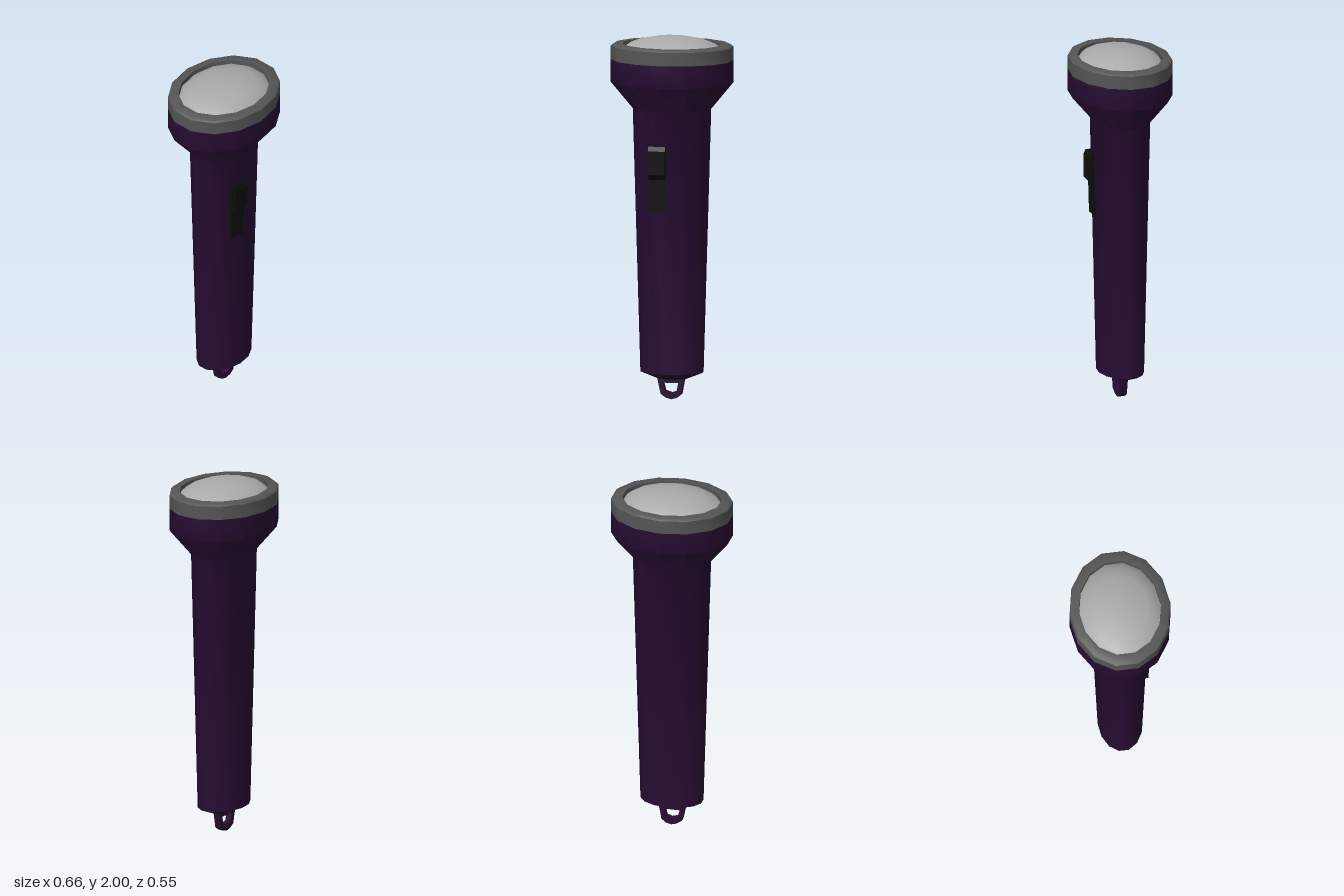
import * as THREE from 'three';
import { toCreasedNormals } from 'three/addons/utils/BufferGeometryUtils.js';

const SIDES = 14;

function material(name, color) {
  const m = new THREE.MeshStandardMaterial({ color });
  m.name = name;
  return m;
}

// Oval lathe: each ring is [half width in x, height, half depth in z]
function ovalLathe(rings) {
  const geo = new THREE.LatheGeometry(rings.map(([rx, y]) => new THREE.Vector2(rx, y)), SIDES);
  const pos = geo.attributes.position;
  for (let i = 0; i < pos.count; i++) {
    const [rx, , rz] = rings[i % rings.length];
    if (rx > 0) pos.setZ(i, pos.getZ(i) * rz / rx);
  }
  return toCreasedNormals(geo, 0.75);
}

function polygon(points, Type = THREE.Shape) {
  return new Type(points.map(([x, y]) => new THREE.Vector2(x, y)));
}

export function createModel() {
  const group = new THREE.Group();
  group.name = 'flashlight';
  const purple = material('dark purple', 0x270d33);
  const grey = material('rim grey', 0x555555);
  const glass = material('lens grey', 0xaaaaaa);
  const black = material('switch black', 0x0d0d0d);

  const add = (name, geo, mat) => {
    const mesh = new THREE.Mesh(geo, mat);
    mesh.name = name;
    group.add(mesh);
    return mesh;
  };

  // Tapered handle flaring into the head
  add('body', ovalLathe([
    [0, 0.105, 0], [0.07, 0.108, 0.02], [0.175, 0.15, 0.123],
    [0.217, 1.6, 0.155], [0.337, 1.745, 0.277], [0.337, 1.87, 0.277],
  ]), purple);

  // Rim with a shallow recess around the lens
  add('rim', ovalLathe([
    [0.337, 1.87, 0.277], [0.337, 1.945, 0.277], [0.325, 1.955, 0.267],
    [0.274, 1.957, 0.225], [0.273, 1.915, 0.224],
  ]), grey);

  // Domed lens
  add('lens', ovalLathe([
    [0.273, 1.93, 0.224], [0.24, 1.957, 0.197], [0.185, 1.977, 0.152],
    [0.1, 1.994, 0.082], [0, 2, 0],
  ]), glass);

  // Rocker switch: side profile in (z, y), extruded across x
  const switchGeo = new THREE.ExtrudeGeometry(polygon([
    [0.1, 1.05], [0.144, 1.05], [0.149, 1.225], [0.176, 1.255],
    [0.177, 1.385], [0.165, 1.41], [0.1, 1.41],
  ]), { depth: 0.095, bevelEnabled: false });
  switchGeo.rotateY(-Math.PI / 2);
  add('switch', switchGeo, black);

  // Hanging loop under the handle
  const loop = polygon([
    [-0.08, 0.12], [-0.06, 0.028], [-0.03, 0.008], [0, 0],
    [0.03, 0.008], [0.055, 0.028], [0.072, 0.12],
  ]);
  loop.holes.push(polygon([
    [-0.047, 0.09], [0.038, 0.09], [0.03, 0.046], [0, 0.035], [-0.036, 0.046],
  ], THREE.Path));
  const loopGeo = new THREE.ExtrudeGeometry(loop, { depth: 0.036, bevelEnabled: false });
  loopGeo.translate(0, 0, -0.018);
  add('hangingLoop', loopGeo, purple);

  return group;
}
